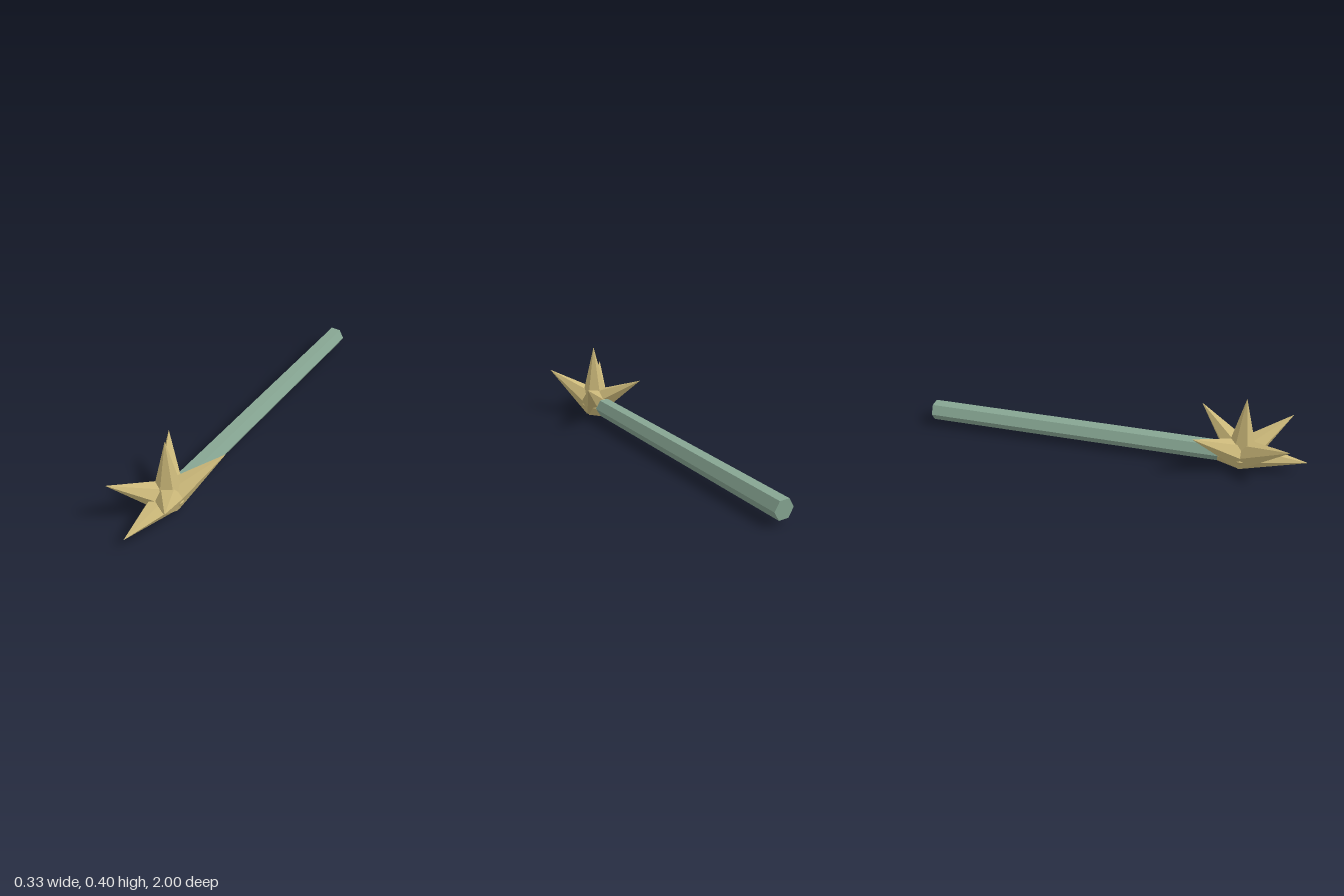
import * as THREE from 'three';

const CENTER = new THREE.Vector3(0, 0.07, 0.667);
const SPIKE_LENGTH = 0.333;
const SPIKE_RADIUS = 0.08;

export function createModel() {
  const group = new THREE.Group();
  group.name = 'spikedMace';
  const brass = new THREE.MeshStandardMaterial({ name: 'brass', color: 0xccb97a, flatShading: true });
  const green = new THREE.MeshStandardMaterial({ name: 'greenShaft', color: 0x86a592, flatShading: true });

  // Six-sided handle with one pair of corners at left and right
  const shaftFront = CENTER.z - 0.02;
  const shaftLength = shaftFront + 1;
  const shaftGeo = new THREE.CylinderGeometry(0.053, 0.053, shaftLength, 6);
  shaftGeo.rotateY(Math.PI / 2).rotateX(Math.PI / 2);
  const shaft = new THREE.Mesh(shaftGeo, green);
  shaft.name = 'shaft';
  shaft.position.set(0, 0.0715, shaftFront - shaftLength / 2);
  group.add(shaft);

  // Six-sided spikes radiating from one point; a corner of each base lies level
  const head = new THREE.Group();
  head.name = 'spikedHead';
  head.position.copy(CENTER);
  group.add(head);

  const spikeGeo = new THREE.ConeGeometry(SPIKE_RADIUS, SPIKE_LENGTH, 6);
  spikeGeo.translate(0, SPIKE_LENGTH / 2, 0);

  function addSpike(name, x, y, z) {
    const axis = new THREE.Vector3(x, y, z).normalize();
    const level = new THREE.Vector3(z, 0, -x);
    if (level.lengthSq() < 1e-6) level.set(0, 0, 1);
    level.normalize();
    const side = new THREE.Vector3().crossVectors(axis, level);
    const spike = new THREE.Mesh(spikeGeo, brass);
    spike.name = name;
    spike.quaternion.setFromRotationMatrix(new THREE.Matrix4().makeBasis(side, axis, level));
    head.add(spike);
  }

  addSpike('topSpike', 0, 1, 0);
  addSpike('frontSpike', 0, 0, 1);
  addSpike('backSpike', 0, 0, -1); // mostly hidden in the shaft, forms the collar
  for (const sx of [1, -1]) {
    for (const sz of [1, -1]) {
      const name = (sz > 0 ? 'front' : 'back') + (sx > 0 ? 'Left' : 'Right') + 'Spike';
      addSpike(name, sx * 0.5, 0.5, sz * Math.SQRT1_2);
    }
  }
  return group;
}
